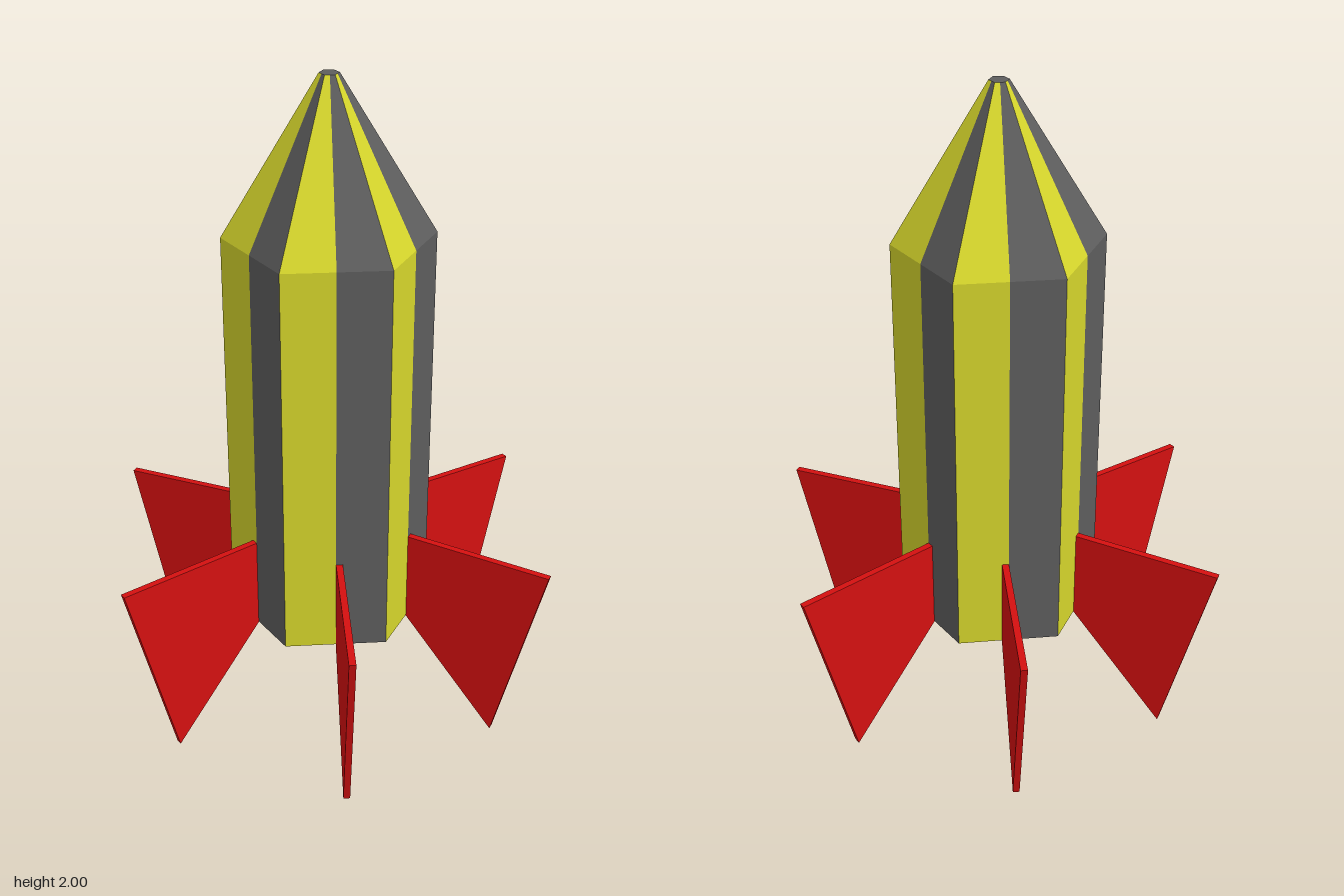
import * as THREE from 'three';

const mat = (color) => new THREE.MeshStandardMaterial({ color, flatShading: true });

// Hull profile from nose tip down to the recessed base: [corner radius, height]
const PROFILE = [[0.028, 2], [0.3, 1.545], [0.3, 0.34], [0.245, 0.4]];

// Point on a hexagonal ring: even steps are corners, odd steps are face middles
function ringPoint([radius, y], step) {
  const r = step % 2 ? radius * Math.cos(Math.PI / 6) : radius;
  const a = step * Math.PI / 6;
  return [r * Math.sin(a), y, r * Math.cos(a)];
}

// Every second half-face strip, running the full length of the hull
function stripeGeometry(first) {
  const pos = [];
  for (let s = first; s < 12; s += 2) {
    for (let i = 0; i < PROFILE.length - 1; i++) {
      const ul = ringPoint(PROFILE[i], s), ur = ringPoint(PROFILE[i], s + 1);
      const ll = ringPoint(PROFILE[i + 1], s), lr = ringPoint(PROFILE[i + 1], s + 1);
      pos.push(...ul, ...ll, ...lr, ...ul, ...lr, ...ur);
    }
  }
  const geo = new THREE.BufferGeometry();
  geo.setAttribute('position', new THREE.Float32BufferAttribute(pos, 3));
  geo.computeVertexNormals();
  return geo;
}

export function createModel() {
  const rocket = new THREE.Group();
  rocket.name = 'rocket';
  const yellow = mat(0xd6d62c), grey = mat(0x5e5e5e), red = mat(0xd41010);

  const add = (name, geo, material) => {
    const mesh = new THREE.Mesh(geo, material);
    mesh.name = name;
    rocket.add(mesh);
    return mesh;
  };

  // Hull stripes
  add('yellowStripes', stripeGeometry(0), yellow);
  add('greyStripes', stripeGeometry(1), grey);

  // Nose cap and recessed base plate
  const cap = (name, [radius, y], facing) => {
    const geo = new THREE.CircleGeometry(radius, 6, Math.PI / 6);
    geo.rotateX(-facing * Math.PI / 2);
    geo.translate(0, y, 0);
    add(name, geo, grey);
  };
  cap('noseCap', PROFILE[0], 1);
  cap('basePlate', PROFILE[3], -1);

  // Six swept fins, one per hull face, mirrored left to right
  const outline = new THREE.Shape([[0.258, 0.34], [0.55, 0], [0.7, 0.605], [0.258, 0.625]]
    .map(([x, y]) => new THREE.Vector2(x, y)));
  const finGeo = new THREE.ExtrudeGeometry(outline, { depth: 0.02, bevelEnabled: false });
  const leftFin = finGeo.clone().translate(0, 0, -0.02);
  for (const deg of [-60, 0, 60]) {
    add('leftFin', leftFin, red).rotation.y = THREE.MathUtils.degToRad(deg);
    add('rightFin', finGeo, red).rotation.y = THREE.MathUtils.degToRad(180 + deg);
  }

  // Centre the whole shape front to back
  rocket.children.forEach((part) => { part.position.z = 0.005; });
  return rocket;
}
